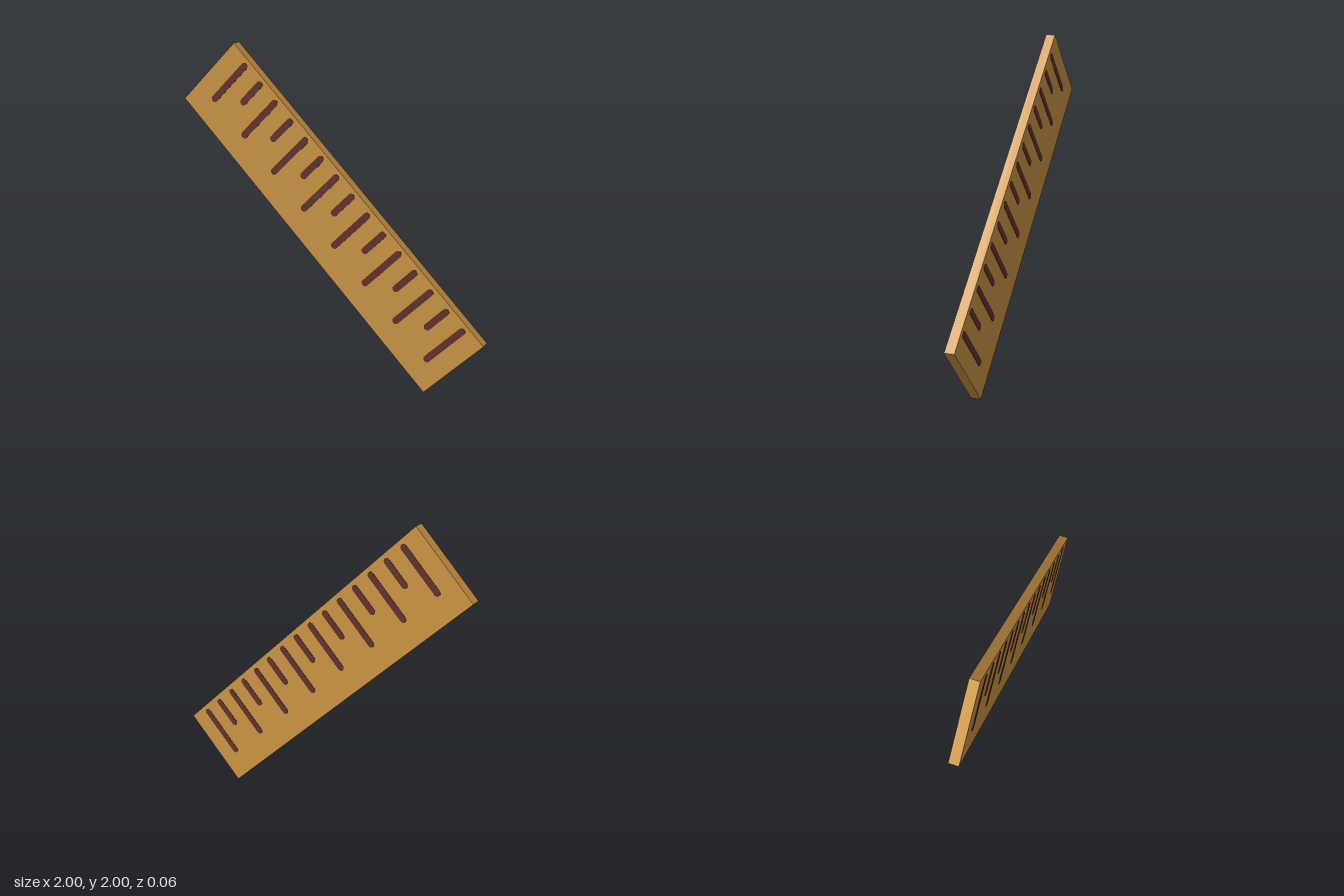
import * as THREE from 'three';

const LENGTH = 2.312, WIDTH = 0.516, DEPTH = 0.06;
const TICK_TOP = 0.233, TICK_RADIUS = 0.021, TICK_SPAN = 2.024, TICKS = 15;

// Round-ended bar standing on the y axis, its upper tip at y = 0
function tickGeometry(length) {
  const r = TICK_RADIUS;
  const shape = new THREE.Shape();
  shape.absarc(0, -r, r, 0, Math.PI, false);
  shape.absarc(0, -length + r, r, Math.PI, Math.PI * 2, false);
  shape.closePath();
  const depth = DEPTH + 0.004; // just proud of both faces
  const geometry = new THREE.ExtrudeGeometry(shape, { depth, bevelEnabled: false, curveSegments: 6 });
  return geometry.translate(0, 0, -depth / 2);
}

export function createModel() {
  const wood = new THREE.MeshStandardMaterial({ color: 0xd09846 });
  wood.name = 'wood';
  const darkBrown = new THREE.MeshStandardMaterial({ color: 0x63342f });
  darkBrown.name = 'dark brown';

  const model = new THREE.Group();
  model.name = 'ruler';

  // Flat board
  const board = new THREE.Mesh(new THREE.BoxGeometry(LENGTH, WIDTH, DEPTH), wood);
  board.name = 'board';
  model.add(board);

  // Alternating long and short marks, visible on both faces
  const longTick = tickGeometry(0.345);
  const shortTick = tickGeometry(0.203);
  for (let i = 0; i < TICKS; i++) {
    const isLong = i % 2 === 0;
    const tick = new THREE.Mesh(isLong ? longTick : shortTick, darkBrown);
    tick.name = isLong ? 'longMark' : 'shortMark';
    tick.position.set((i / (TICKS - 1) - 0.5) * TICK_SPAN, TICK_TOP, 0);
    model.add(tick);
  }

  // Tilted to stand on its lower corner
  model.rotation.z = -Math.PI / 4;
  model.position.y = 1;

  const root = new THREE.Group();
  root.name = 'tiltedRuler';
  root.add(model);
  return root;
}
